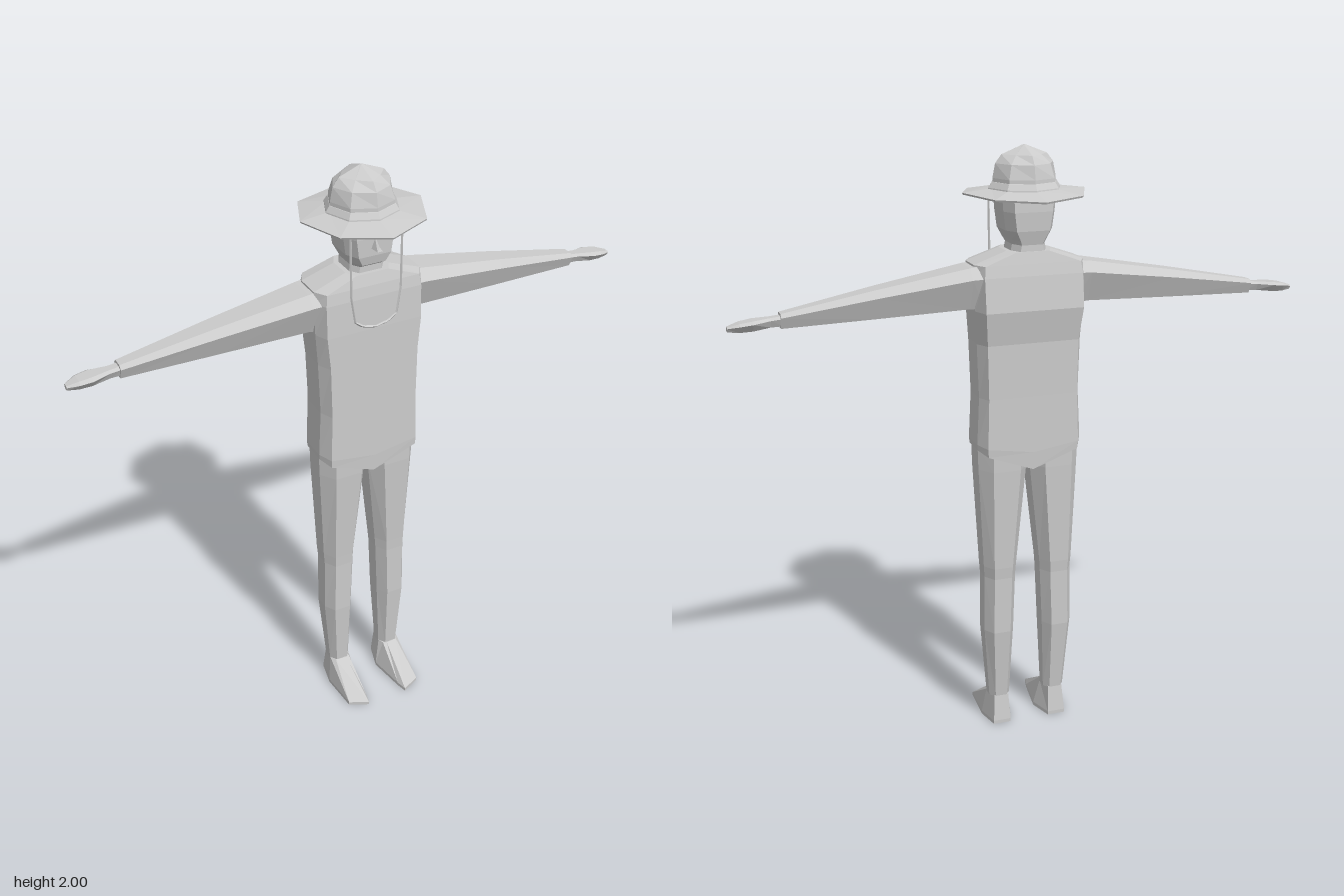
import * as THREE from 'three';

const material = new THREE.MeshStandardMaterial({ color: 0xcccccc, flatShading: true, side: THREE.DoubleSide });

// Skins a list of equal-length point loops and caps both ends.
function loft(name, rings) {
  const n = rings[0].length, tris = [];
  for (let r = 0; r < rings.length - 1; r++) {
    for (let i = 0; i < n; i++) {
      const j = (i + 1) % n, a = rings[r], b = rings[r + 1];
      tris.push([a[i], a[j], b[j]], [a[i], b[j], b[i]]);
    }
  }
  const last = rings[rings.length - 1];
  for (let i = 1; i < n - 1; i++) {
    tris.push([rings[0][0], rings[0][i + 1], rings[0][i]], [last[0], last[i], last[i + 1]]);
  }
  // Turn every face outward by the sign of the enclosed volume
  const [A, B, C] = [0, 1, 2].map(() => new THREE.Vector3());
  let volume = 0;
  for (const [a, b, c] of tris) volume += A.set(...a).dot(B.set(...b).cross(C.set(...c)));
  if (volume < 0) tris.forEach(t => t.reverse());
  const geometry = new THREE.BufferGeometry();
  geometry.setAttribute('position', new THREE.Float32BufferAttribute(tris.flat(2), 3));
  geometry.computeVertexNormals();
  const mesh = new THREE.Mesh(geometry, material);
  mesh.name = name;
  return mesh;
}

// Bevelled box section: flat half-width a, full half-width b, front and back z.
// drop lowers the middle of the loop into a V.
function bodyRing(y, a, b, zf, zb, drop = 0) {
  const half = [[a, zf, 0.2], [b, zf * 0.5, 0], [b, zb * 0.5, 0], [a, zb, 0.2]];
  const right = half.map(([x, z, d]) => [x, y - drop * d, z]);
  const left = [...right].reverse().map(([x, yy, z]) => [-x, yy, z]);
  return [[0, y - drop, zf], ...right, [0, y - drop, zb], ...left];
}

// Bevelled section around an off-centre limb running along y
function legRing(y, x0, x1, zf, zb) {
  const w = x1 - x0, zm = (zf + zb) / 2, h = (zf - zb) / 2;
  return [[0.22, 1], [0.78, 1], [1, 0.4], [1, -0.4], [0.78, -1], [0.22, -1], [0, -0.4], [0, 0.4]]
    .map(([u, v]) => [x0 + w * u, y, zm + h * v]);
}

// Six-sided section across an arm running along x
function armRing(x, top, bottom, zf, zb) {
  const zm = (zf + zb) / 2, h = (zf - zb) / 2;
  return [[1, 0.6], [0.75, 1], [0, 0.5], [0, -0.5], [0.75, -1], [1, -0.6]]
    .map(([v, u]) => [x, bottom + (top - bottom) * v, zm + h * u]);
}

// Eight-sided hat loop; dent pulls in the diagonals, lift raises the sides
function hatRing(y, r, dent = 1, lift = 0) {
  return Array.from({ length: 8 }, (_, i) => {
    const t = i * Math.PI / 4, k = i % 2 ? r * dent : r;
    return [k * Math.cos(t), y + lift * Math.cos(t) ** 2, k * Math.sin(t)];
  });
}

function createLimbs(side) {
  const group = new THREE.Group();
  group.name = side > 0 ? 'leftLimbs' : 'rightLimbs';
  const add = (name, rings) =>
    group.add(loft(name, rings.map(r => r.map(([x, y, z]) => [x * side, y, z]))));

  add('arm', [
    armRing(0.15, 1.635, 1.49, 0.075, -0.095),
    armRing(0.2, 1.63, 1.497, 0.072, -0.092),
    armRing(0.5, 1.58, 1.487, 0.04, -0.072),
    armRing(0.8, 1.525, 1.478, 0.008, -0.052),
  ]);
  add('hand', [
    armRing(0.79, 1.518, 1.485, 0, -0.045),
    armRing(0.83, 1.514, 1.484, 0, -0.045),
    armRing(0.885, 1.51, 1.478, 0.015, -0.062),
    armRing(0.925, 1.504, 1.476, 0.01, -0.057),
    armRing(0.962, 1.493, 1.478, -0.008, -0.035),
  ]);
  add('leg', [
    legRing(1.03, 0.002, 0.176, 0.088, -0.09),
    legRing(0.95, 0.006, 0.174, 0.086, -0.09),
    legRing(0.6, 0.042, 0.158, 0.062, -0.077),
    legRing(0.56, 0.045, 0.155, 0.06, -0.073),
    legRing(0.36, 0.053, 0.157, 0.057, -0.073),
    legRing(0.1, 0.064, 0.137, 0.038, -0.043),
  ]);
  // Wedge foot, toes turned slightly out
  const sole = [[0.045, 0.03], [0.066, 0.165], [0.075, 0.203], [0.14, 0.172], [0.15, 0.03], [0.132, -0.055], [0.07, -0.055]];
  const ankle = [[0.064, 0.015], [0.072, 0.036], [0.085, 0.042], [0.125, 0.038], [0.137, 0.015], [0.125, -0.043], [0.075, -0.043]];
  add('foot', [
    sole.map(([x, z]) => [x, 0, z]),
    sole.map(([x, z]) => [x, 0.012, z]),
    ankle.map(([x, z]) => [x, 0.105, z]),
  ]);
  return group;
}

export function createModel() {
  const model = new THREE.Group();
  model.name = 'figure';

  model.add(loft('torso', [
    bodyRing(1.02, 0.155, 0.178, 0.09, -0.092, 0.07),
    bodyRing(1.04, 0.157, 0.18, 0.092, -0.094, 0.03),
    bodyRing(1.2, 0.152, 0.172, 0.092, -0.092),
    bodyRing(1.38, 0.155, 0.178, 0.092, -0.092),
    bodyRing(1.49, 0.165, 0.185, 0.092, -0.113),
    bodyRing(1.6, 0.165, 0.188, 0.088, -0.1),
    bodyRing(1.637, 0.16, 0.185, 0.083, -0.092),
    bodyRing(1.675, 0.055, 0.075, 0.073, -0.083),
  ]));

  // Neck and head
  model.add(loft('head', [
    bodyRing(1.65, 0.045, 0.065, 0.06, -0.08),
    bodyRing(1.695, 0.035, 0.055, 0.06, -0.078),
    bodyRing(1.71, 0.04, 0.062, 0.083, -0.082),
    bodyRing(1.74, 0.055, 0.078, 0.09, -0.09),
    bodyRing(1.8, 0.063, 0.086, 0.092, -0.094),
    bodyRing(1.86, 0.065, 0.09, 0.09, -0.092),
  ]));
  model.add(loft('nose', [
    [[-0.014, 1.765, 0.085], [0.014, 1.765, 0.085], [0, 1.805, 0.085]],
    [[-0.009, 1.765, 0.122], [0.009, 1.765, 0.122], [0, 1.778, 0.118]],
  ]));

  // Hat: sloped brim, band and pinched crown
  model.add(loft('hatBrim', [
    hatRing(1.855, 0.1),
    hatRing(1.84, 0.203, 1, 0.012),
    hatRing(1.846, 0.206, 1, 0.012),
    hatRing(1.868, 0.11),
  ]));
  model.add(loft('hatBand', [
    hatRing(1.855, 0.123), hatRing(1.87, 0.12), hatRing(1.888, 0.108), hatRing(1.892, 0.098),
  ]));
  model.add(loft('hatCrown', [
    hatRing(1.86, 0.108), hatRing(1.9, 0.106), hatRing(1.945, 0.097, 0.94),
    hatRing(1.972, 0.076, 0.78), hatRing(2, 0.004),
  ]));

  // Chin strap hanging onto the chest
  const half = [[0.088, 1.85], [0.086, 1.62], [0.072, 1.53], [0.045, 1.51]];
  const points = [...half, [0, 1.5], ...[...half].reverse().map(([x, y]) => [-x, y])];
  const path = new THREE.CurvePath();
  for (let i = 0; i < points.length - 1; i++) {
    path.add(new THREE.LineCurve3(
      new THREE.Vector3(...points[i], 0.098), new THREE.Vector3(...points[i + 1], 0.098)));
  }
  const strap = new THREE.Mesh(new THREE.TubeGeometry(path, 60, 0.004, 4), material);
  strap.name = 'chinStrap';
  model.add(strap);

  model.add(createLimbs(1), createLimbs(-1));
  return model;
}
